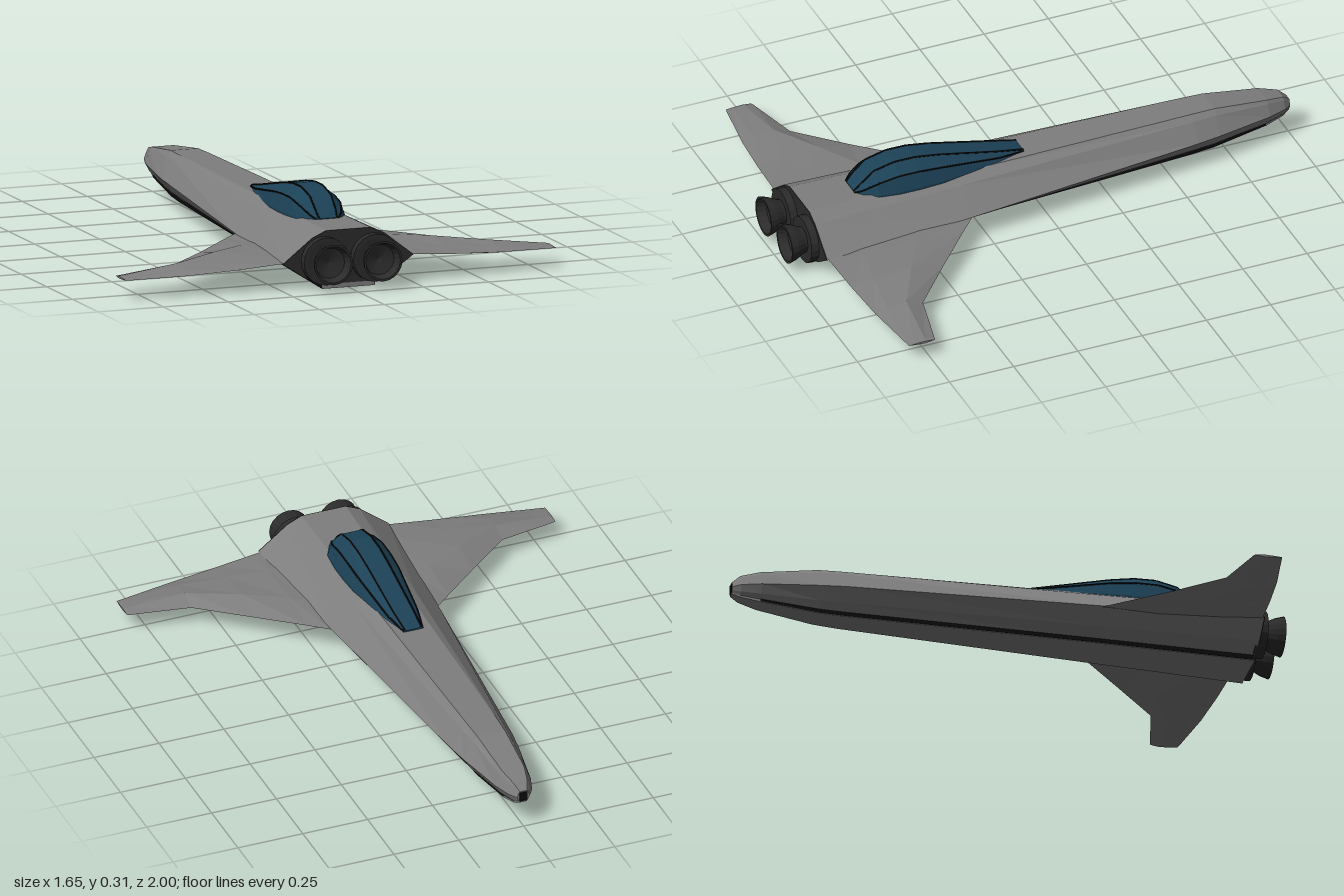
import * as THREE from 'three';

const paint = (color) => new THREE.MeshStandardMaterial({ color, flatShading: true, side: THREE.DoubleSide });

// Skin a list of closed rings of [x, y, z] points and cap both ends
function loft(rings) {
  const out = [];
  const n = rings[0].length;
  const tri = (...pts) => pts.forEach((p) => out.push(...p));
  for (let s = 0; s < rings.length - 1; s++) {
    const a = rings[s], b = rings[s + 1];
    for (let i = 0; i < n; i++) {
      const j = (i + 1) % n;
      tri(a[i], a[j], b[j]);
      tri(a[i], b[j], b[i]);
    }
  }
  const centre = (r) => [0, 1, 2].map((k) => r.reduce((t, p) => t + p[k], 0) / n);
  const first = rings[0], last = rings[rings.length - 1];
  for (let i = 0; i < n; i++) {
    const j = (i + 1) % n;
    tri(centre(first), first[j], first[i]);
    tri(centre(last), last[i], last[j]);
  }
  const g = new THREE.BufferGeometry();
  g.setAttribute('position', new THREE.Float32BufferAttribute(out, 3));
  g.computeVertexNormals();
  return g;
}

// Half outline from bottom to top, mirrored to a full ring at z
const mirrorRing = (half, z) => [
  ...half.map(([x, y]) => [x, y, z]),
  ...half.slice().reverse().map(([x, y]) => [-x, y, z]),
];

function part(name, geometry, material) {
  const mesh = new THREE.Mesh(geometry, material);
  mesh.name = name;
  return mesh;
}

export function createModel() {
  const model = new THREE.Group();
  model.name = 'spacePlane';
  const hullPaint = paint(0x7e7e7e);
  const glassPaint = paint(0x1c4257);
  const enginePaint = paint(0x2b2b2b);
  const trimPaint = paint(0x0c0c0c);

  // Fuselage stations: z, half width, widest y, top y, top half width, bottom y, bottom half width
  const hull = [
    [-0.998, 0.025, 0.128, 0.15, 0.014, 0.105, 0.014],
    [-0.97, 0.045, 0.13, 0.172, 0.026, 0.09, 0.024],
    [-0.9, 0.068, 0.13, 0.187, 0.042, 0.074, 0.036],
    [-0.69, 0.107, 0.128, 0.213, 0.053, 0.045, 0.05],
    [-0.6, 0.12, 0.127, 0.214, 0.056, 0.04, 0.054],
    [0.32, 0.207, 0.108, 0.216, 0.074, 0.018, 0.085],
    [0.9, 0.25, 0.105, 0.215, 0.086, 0.003, 0.1],
  ];
  const hullHalf = ([, w, ym, yt, tw, yb, bw]) => [
    [bw, yb],
    [bw * 1.02, yb + (ym - yb) * 0.17],
    [bw + (w - bw) * 0.47, yb + (ym - yb) * 0.45],
    [w, ym],
    [tw + (w - tw) * 0.33, ym + (yt - ym) * 0.78],
    [tw, yt],
  ];
  model.add(part('fuselage', loft(hull.map((s) => mirrorRing(hullHalf(s), s[0]))), hullPaint));

  // Dark plate closing the tail above the keel
  const tail = hullHalf(hull[hull.length - 1]).slice(1);
  model.add(part('rearBulkhead', loft([0.899, 0.903].map((z) => mirrorRing(tail, z))), enginePaint));

  // Dark seams along both sides of the keel
  model.add(part('keelTrim', loft(hull.slice(2).map(([z, , ym, , , yb, bw]) => mirrorRing([
    [bw * 1.03, yb + 0.002],
    [bw * 1.05, yb + (ym - yb) * 0.18],
  ], z * 0.998))), trimPaint));

  // Small dark port in the blunt nose
  const port = part('nosePort', new THREE.BoxGeometry(0.03, 0.036, 0.004), trimPaint);
  port.position.set(0, 0.128, -0.998);
  model.add(port);

  // Wing stations: x, leading z, trailing z, edge y, top y, bottom y
  const wing = [
    [0.15, 0.27, 0.9, 0.106, 0.112, 0.098],
    [0.207, 0.32, 0.898, 0.106, 0.112, 0.098],
    [0.27, 0.38, 0.893, 0.102, 0.115, 0.09],
    [0.42, 0.52, 0.882, 0.09, 0.114, 0.067],
    [0.6, 0.68, 0.865, 0.08, 0.104, 0.06],
    [0.815, 0.728, 0.833, 0.073, 0.08, 0.066],
    [0.826, 0.732, 0.831, 0.073, 0.077, 0.068],
  ];
  for (const side of [1, -1]) {
    const rings = wing.map(([x, zl, zt, ye, yt, yb]) => {
      const at = (t) => zl + (zt - zl) * t;
      return [
        [side * x, ye, zl], [side * x, yt, at(0.35)], [side * x, (yt + ye) / 2, at(0.75)],
        [side * x, ye, zt], [side * x, (yb + ye) / 2, at(0.75)], [side * x, yb, at(0.35)],
      ];
    });
    if (side < 0) rings.reverse();
    model.add(part(side > 0 ? 'leftWing' : 'rightWing', loft(rings), hullPaint));
  }

  // Canopy stations: z, base half width, top y, top half width, shoulder y
  const canopy = [
    [0.045, 0.036, 0.221, 0.032, 0.216],
    [0.15, 0.066, 0.242, 0.037, 0.228],
    [0.38, 0.096, 0.292, 0.04, 0.262],
    [0.47, 0.1, 0.306, 0.041, 0.27],
    [0.55, 0.1, 0.307, 0.041, 0.27],
    [0.63, 0.094, 0.288, 0.04, 0.255],
    [0.68, 0.07, 0.245, 0.038, 0.23],
    [0.705, 0.042, 0.218, 0.034, 0.214],
  ];
  const canopyHalf = ([, w, yt, tw, ys]) => [
    [w, 0.193],
    [w, 0.212],
    [tw + (w - tw) * 0.7, ys],
    [tw, yt],
  ];
  model.add(part('canopy', loft(canopy.map((s) => mirrorRing(canopyHalf(s), s[0]))), glassPaint));

  // Dark frame bars along the canopy's upper and shoulder edges
  for (const side of [1, -1]) {
    for (const edge of [2, 3]) {
      const path = new THREE.CatmullRomCurve3(canopy.map((s) => {
        const [x, y] = canopyHalf(s)[edge];
        return new THREE.Vector3(side * x, y, s[0]);
      }), false, 'catmullrom', 0);
      model.add(part('canopyFrame', new THREE.TubeGeometry(path, 40, 0.0035, 5), trimPaint));
    }
  }

  // Twin engines: mounting collar and hollow flared nozzle
  const collar = [[0, 0.89], [0.087, 0.89], [0.087, 0.932], [0.072, 0.932], [0.046, 0.93]];
  const nozzle = [[0.046, 0.925], [0.05, 0.94], [0.065, 0.97], [0.074, 1.0], [0.066, 1.0], [0.055, 0.965], [0, 0.95]];
  const spin = (profile) => new THREE.LatheGeometry(profile.map(([r, z]) => new THREE.Vector2(r, z)), 20).rotateX(Math.PI / 2);
  for (const side of [1, -1]) {
    const engine = new THREE.Group();
    engine.name = side > 0 ? 'leftEngine' : 'rightEngine';
    engine.add(part('engineCollar', spin(collar), enginePaint), part('engineNozzle', spin(nozzle), enginePaint));
    engine.position.set(side * 0.095, 0.108, 0);
    model.add(engine);
  }
  return model;
}
